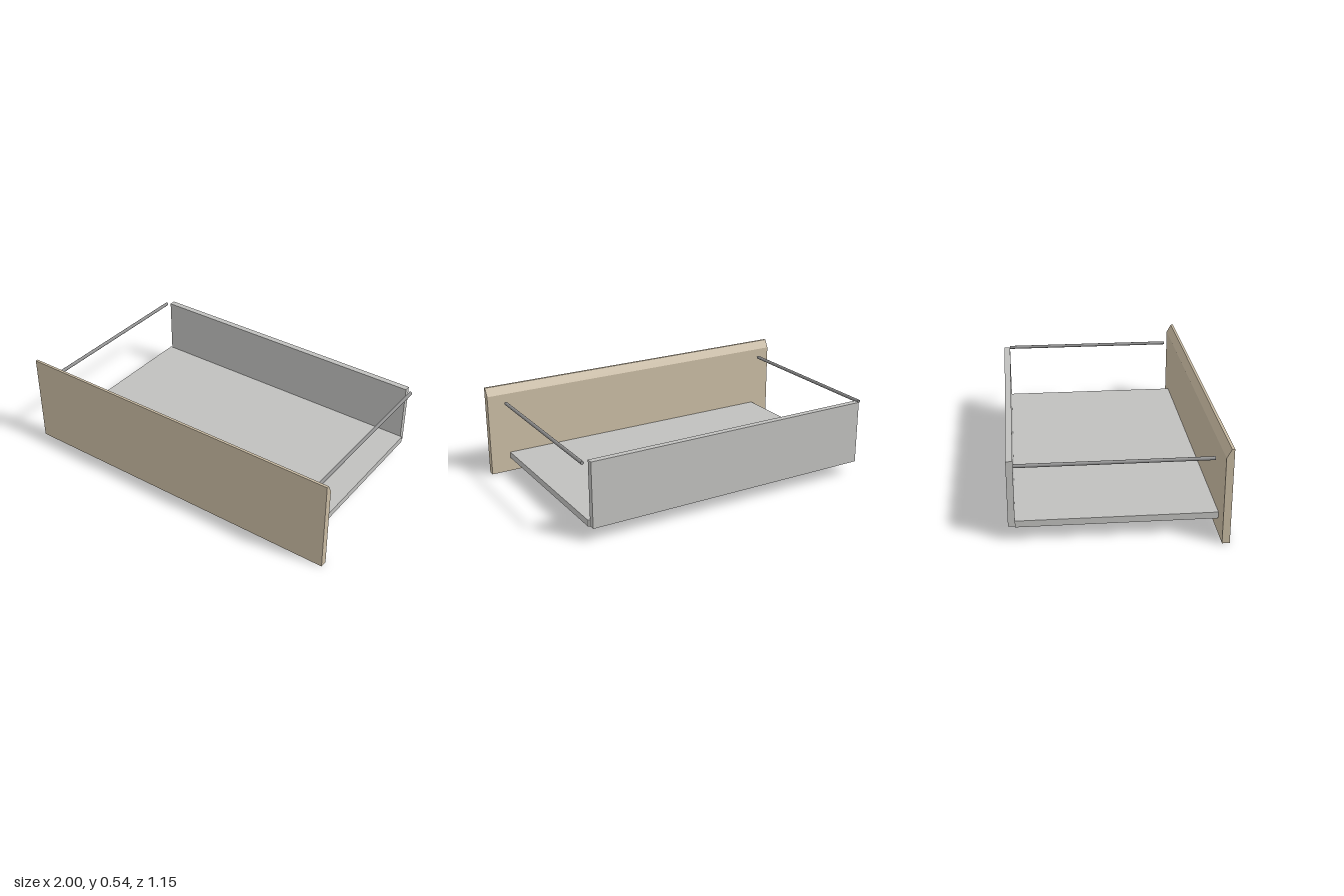
import * as THREE from 'three';

export function createModel() {
  const group = new THREE.Group();
  group.name = 'drawer';

  const material = (name, color) => {
    const m = new THREE.MeshStandardMaterial({ color });
    m.name = name;
    return m;
  };
  const wood = material('light wood', 0xc8baa2);
  const panel = material('light grey panel', 0xbfbfbd);
  const metal = material('grey metal', 0x8c8c8c);

  const add = (name, geometry, mat, x, y, z) => {
    const mesh = new THREE.Mesh(geometry, mat);
    mesh.name = name;
    mesh.position.set(x, y, z);
    group.add(mesh);
    return mesh;
  };

  // Front panel: side profile (z, y) with a bevelled inner top edge, extruded across x
  const profile = new THREE.Shape([
    [0.532, 0], [0.573, 0], [0.573, 0.538], [0.558, 0.538], [0.532, 0.49],
  ].map(([z, y]) => new THREE.Vector2(-z, y)));
  const frontGeometry = new THREE.ExtrudeGeometry(profile, { depth: 2, bevelEnabled: false });
  frontGeometry.rotateY(Math.PI / 2);
  add('frontPanel', frontGeometry, wood, -1, 0, 0);

  // Bottom and back boards
  const backZ = -0.537, frontZ = 0.532, floorY = 0.082;
  add('bottomBoard', new THREE.BoxGeometry(1.76, 0.037, frontZ - backZ), panel,
    0, floorY + 0.0185, (frontZ + backZ) / 2);
  add('backBoard', new THREE.BoxGeometry(1.738, 0.374, 0.036), panel,
    0, floorY + 0.187, backZ - 0.018);

  // Side rails
  const railLength = 1.034;
  const railGeometry = new THREE.CylinderGeometry(0.01, 0.01, railLength, 24);
  railGeometry.rotateX(Math.PI / 2);
  for (const [name, side] of [['leftRail', 1], ['rightRail', -1]]) {
    add(name, railGeometry, metal, side * 0.9, 0.445, backZ + railLength / 2);
  }

  return group;
}
